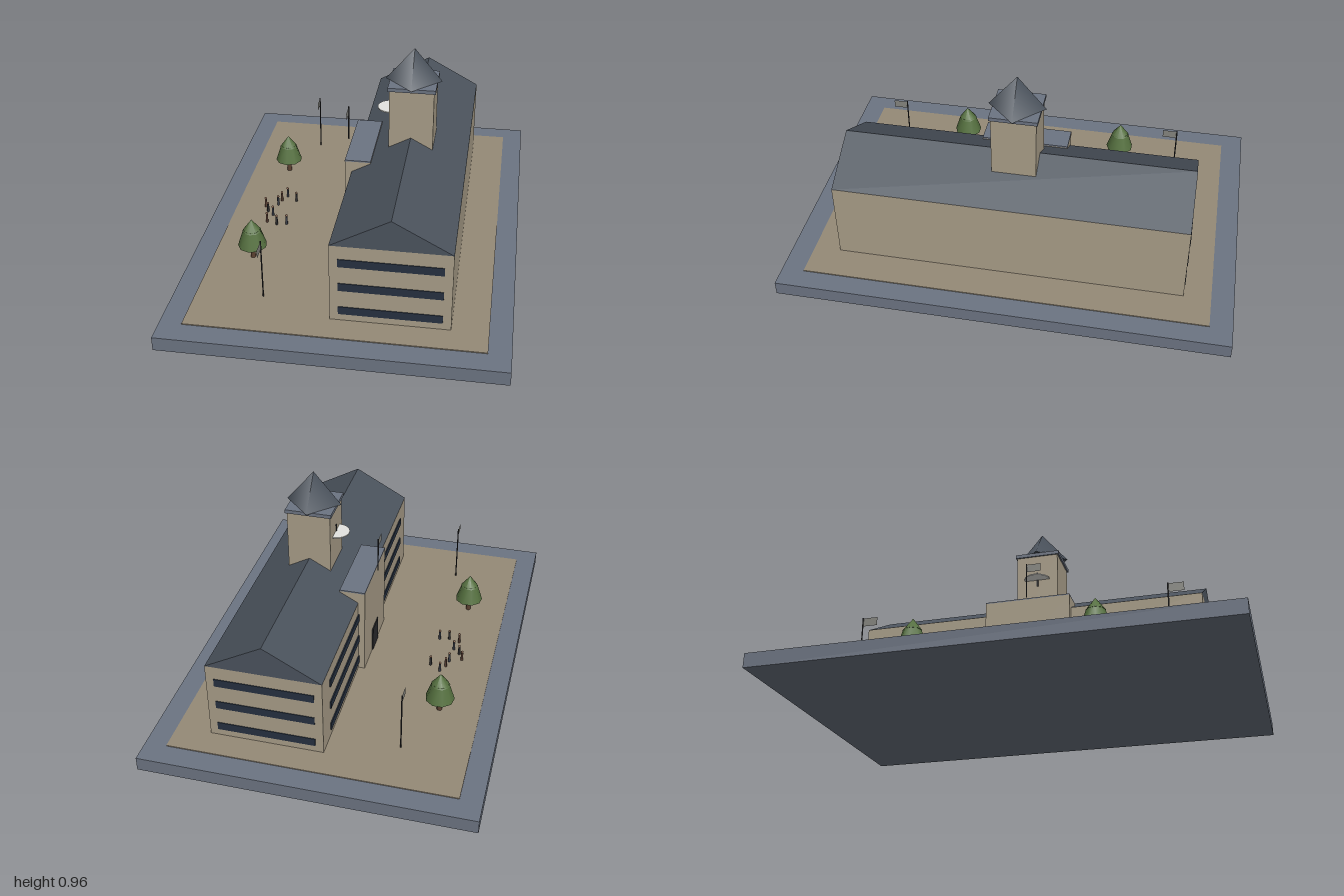
import * as THREE from 'three';

const mat = (color, side = THREE.FrontSide) => new THREE.MeshStandardMaterial({ color, side });
const stone = mat(0xa89d88);
const paving = mat(0x958a77);
const slate = mat(0x4b535d);
const plinthGrey = mat(0x6c7482);
const glass = mat(0x263040);
const dark = mat(0x2a2a2c);
const leaf = mat(0x55703f);
const bark = mat(0x5a4030);
const pale = mat(0xe4e4e0);
const cloth = mat(0x85857f, THREE.DoubleSide);
const coats = [0x3a3f4a, 0x5a4034, 0x2e2e30].map((c) => mat(c));
const skin = mat(0x8a6650);

const GROUND = 0.067;

export function createModel() {
  const model = new THREE.Group();

  const add = (name, geometry, material, x, y, z, parent = model) => {
    const mesh = new THREE.Mesh(geometry, material);
    mesh.name = name;
    mesh.position.set(x, y, z);
    parent.add(mesh);
    return mesh;
  };
  // Box given by its lower and upper limits on each axis
  const box = (name, material, [x0, x1], [y0, y1], [z0, z1]) =>
    add(name, new THREE.BoxGeometry(x1 - x0, y1 - y0, z1 - z0), material,
      (x0 + x1) / 2, (y0 + y1) / 2, (z0 + z1) / 2);
  const group = (name, x, y, z) => {
    const g = new THREE.Group();
    g.name = name;
    g.position.set(x, y, z);
    model.add(g);
    return g;
  };

  // Ground
  box('plinth', plinthGrey, [-0.72, 0.72], [0, 0.063], [-1, 1]);
  box('plaza', paving, [-0.625, 0.625], [0.06, GROUND], [-0.9, 0.9]);

  // Main hall with a gabled roof
  box('hallWalls', stone, [-0.03, 0.47], [0.063, 0.43], [-0.78, 0.78]);
  const gable = new THREE.Shape([
    new THREE.Vector2(-0.03, 0.43),
    new THREE.Vector2(0.47, 0.43),
    new THREE.Vector2(0.22, 0.567),
  ]);
  add('hallRoof', new THREE.ExtrudeGeometry(gable, { depth: 1.56, bevelEnabled: false }), slate, 0, 0, -0.78);

  // Ribbon windows on three storeys
  for (let floor = 0; floor < 3; floor++) {
    const y = 0.098 + floor * 0.117;
    const span = [y, y + 0.037];
    box('frontWindow', glass, [0.005, 0.435], span, [0.775, 0.783]);
    box('backWindow', glass, [0.005, 0.435], span, [-0.783, -0.775]);
    box('sideWindow', glass, [-0.035, -0.025], span, [-0.67, 0.67]);
  }

  // Entrance block
  box('entranceBlock', stone, [-0.06, 0.055], [0.063, 0.48], [-0.195, 0.195]);
  box('entranceCap', plinthGrey, [-0.06, 0.055], [0.48, 0.486], [-0.195, 0.195]);
  box('door', dark, [-0.065, -0.055], [GROUND, 0.185], [-0.05, 0.05]);

  // Tower
  box('towerShaft', stone, [0.122, 0.318], [0.4, 0.79], [-0.098, 0.098]);
  box('towerCornice', plinthGrey, [0.115, 0.325], [0.79, 0.807], [-0.105, 0.105]);
  add('towerRoof', new THREE.ConeGeometry(0.125, 0.15, 4), slate, 0.22, 0.881, 0);
  add('clockDisc', new THREE.CylinderGeometry(0.06, 0.06, 0.005, 32), pale, 0.12, 0.666, 0);
  box('clockHand', dark, [0.118, 0.123], [0.63, 0.702], [-0.004, 0.004]);

  // Flagpoles
  const flagpole = (x, y, z, height) => {
    const g = group('flagpole', x, y, z);
    add('pole', new THREE.CylinderGeometry(0.003, 0.003, height, 8), dark, 0, height / 2, 0, g);
    const flag = add('flag', new THREE.PlaneGeometry(0.065, 0.038), cloth, 0, height - 0.022, 0.034, g);
    flag.rotation.y = -Math.PI / 2;
  };
  flagpole(-0.335, GROUND, -0.67, 0.28);
  flagpole(-0.335, GROUND, 0.67, 0.28);
  flagpole(-0.073, 0.486, 0, 0.166);

  // Trees
  for (const z of [-0.39, 0.39]) {
    const tree = group('tree', -0.447, GROUND, z);
    add('trunk', new THREE.CylinderGeometry(0.009, 0.012, 0.07, 8), bark, 0, 0.035, 0, tree);
    add('lowerFoliage', new THREE.CylinderGeometry(0.038, 0.065, 0.082, 9), leaf, 0, 0.104, 0, tree);
    add('upperFoliage', new THREE.ConeGeometry(0.042, 0.056, 9), leaf, 0, 0.167, 0, tree);
  }

  // People on the plaza
  const spots = [
    [-0.40, -0.13], [-0.42, -0.09], [-0.35, -0.095], [-0.43, -0.05], [-0.485, -0.025],
    [-0.465, 0.015], [-0.435, 0.045], [-0.45, 0.105], [-0.40, 0.12], [-0.355, 0.11],
  ];
  spots.forEach(([x, z], i) => {
    const person = group('person', x, GROUND, z);
    add('body', new THREE.CylinderGeometry(0.005, 0.006, 0.042, 8), coats[i % 3], 0, 0.021, 0, person);
    add('head', new THREE.SphereGeometry(0.006, 8, 6), skin, 0, 0.047, 0, person);
  });

  return model;
}
